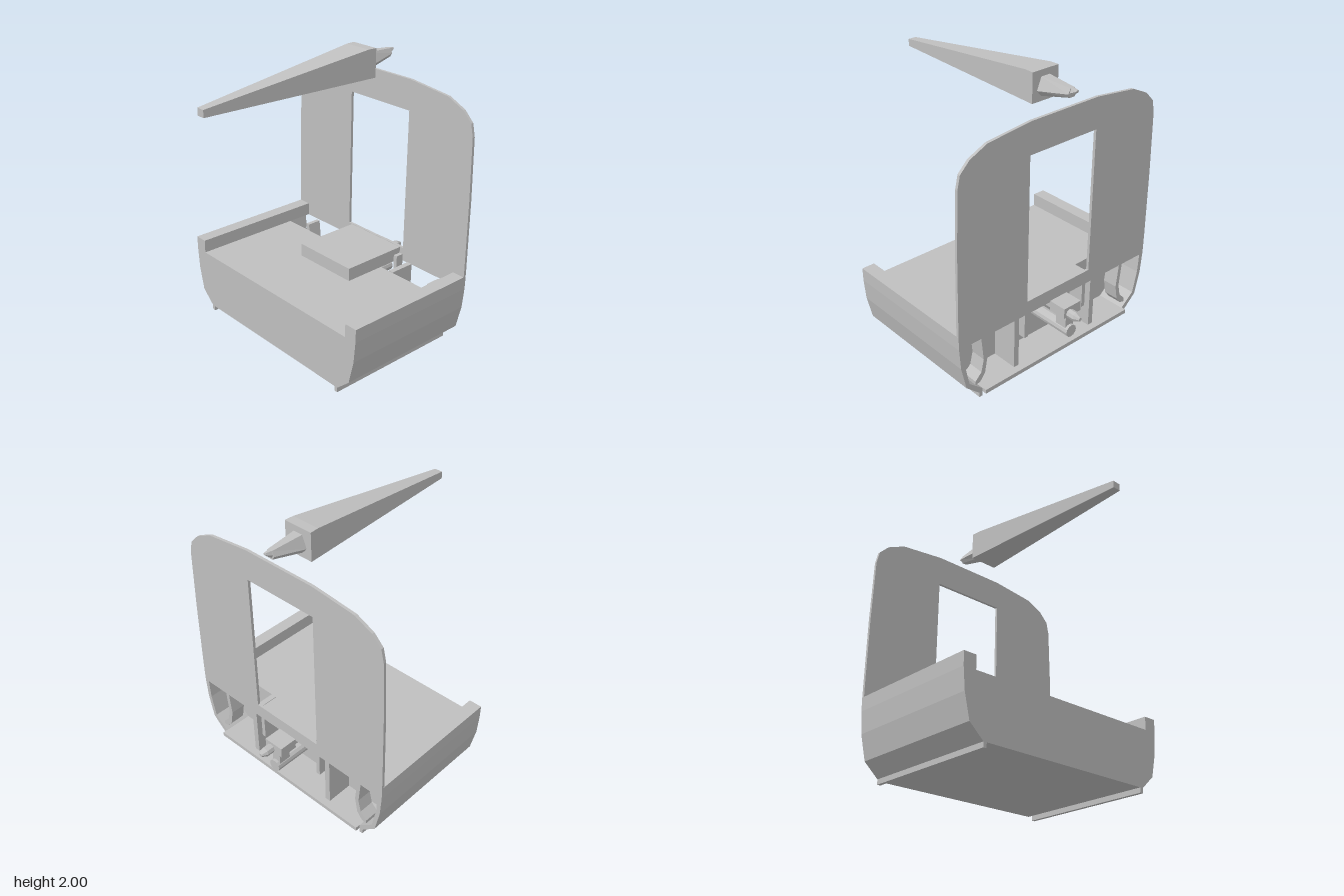
import * as THREE from 'three';

const grey = new THREE.MeshStandardMaterial({ color: 0xbfbfbf });
grey.name = 'plain grey';

function add(parent, name, geometry) {
  const mesh = new THREE.Mesh(geometry, grey);
  mesh.name = name;
  parent.add(mesh);
  return mesh;
}

// Box given by its minimum and maximum corners
function box(parent, name, [x0, y0, z0], [x1, y1, z1]) {
  const mesh = add(parent, name, new THREE.BoxGeometry(x1 - x0, y1 - y0, z1 - z0));
  mesh.position.set((x0 + x1) / 2, (y0 + y1) / 2, (z0 + z1) / 2);
  return mesh;
}

const shapeOf = pts => new THREE.Shape(pts.map(p => new THREE.Vector2(...p)));
const flipX = pts => pts.map(([x, y]) => [-x, y]).reverse();
const mirrored = half => [...half, ...flipX(half)];

// Outline in x,y pushed along z
function slab(parent, name, shape, z0, z1) {
  const geo = new THREE.ExtrudeGeometry(shape, { depth: z1 - z0, bevelEnabled: false });
  geo.translate(0, 0, z0);
  return add(parent, name, geo);
}

// Flat-faced skin over counter-clockwise sections ordered by rising z
function loft(sections) {
  const n = sections[0].pts.length;
  const pos = sections.flatMap(s => s.pts.flatMap(([x, y]) => [x, y, s.z]));
  const index = [];
  for (let s = 0; s < sections.length - 1; s++) {
    for (let i = 0; i < n; i++) {
      const a = s * n + i, b = s * n + (i + 1) % n;
      index.push(a, b, b + n, a, b + n, a + n);
    }
  }
  const last = (sections.length - 1) * n;
  for (let i = 1; i < n - 1; i++) {
    index.push(0, i + 1, i, last, last + i, last + i + 1);
  }
  const geo = new THREE.BufferGeometry();
  geo.setAttribute('position', new THREE.Float32BufferAttribute(pos, 3));
  geo.setIndex(index);
  const flat = geo.toNonIndexed();
  flat.computeVertexNormals();
  return flat;
}

export function createModel() {
  const model = new THREE.Group();
  model.name = 'model';
  const back = -0.64, bay = -0.43, front = 0.38;

  // Lower body: right half outline from the foot up to the deck
  const outer = [[0.66, 0], [0.685, 0], [0.685, 0.035], [0.79, 0.13], [0.83, 0.3],
    [0.843, 0.45], [0.845, 0.545], [0.75, 0.545], [0.75, 0.45]];
  const foot = [0.66, 0.035];
  slab(model, 'body', shapeOf(mirrored([foot, ...outer])), bay, front);

  // Open bay behind the body: thin shell with side rails
  const inner = [[0.81, 0.45], [0.8, 0.31], [0.765, 0.15], [0.66, 0.06]];
  const half = [foot, ...outer, ...inner];
  slab(model, 'bayShell', shapeOf(mirrored(half)), back, bay);
  box(model, 'rearLip', [-0.66, 0.035, -0.675], [0.66, 0.065, back]);

  // Raised pad on the deck
  box(model, 'pad', [-0.25, 0.45, -0.62], [0.25, 0.545, -0.12]);

  // Rear panel with its doorway
  const panel = shapeOf(mirrored([[0.843, 0.45], [0.845, 0.6], [0.842, 1.1], [0.83, 1.54],
    [0.81, 1.63], [0.74, 1.7], [0.61, 1.76], [0.28, 1.797]]));
  panel.holes.push(new THREE.Path([[-0.28, 0.548], [-0.28, 1.58], [0.28, 1.58], [0.28, 0.548]]
    .map(p => new THREE.Vector2(...p))));
  slab(model, 'rearPanel', panel, back, -0.62);

  // Ribs, tabs and curved guards inside the bay
  const guard = [[0.7, 0.09], [0.7, 0.12], [0.65, 0.17], [0.63, 0.26], [0.65, 0.44],
    [0.62, 0.44], [0.6, 0.26], [0.62, 0.15], [0.66, 0.1]];
  for (const side of [1, -1]) {
    const rib = box(model, 'bayRib', [0.33, 0.06, -0.62], [0.37, 0.455, bay]);
    rib.position.x *= side;
    const tab = box(model, 'bayTab', [0.25, 0.25, -0.62], [0.28, 0.5, -0.56]);
    tab.position.x *= side;
    slab(model, 'bayGuard', shapeOf(side > 0 ? guard : flipX(guard)), -0.62, -0.51);
  }

  // Rear coupling: top block, post, round bar and pointed pin
  const coupling = new THREE.Group();
  coupling.name = 'coupling';
  model.add(coupling);
  box(coupling, 'couplingBlock', [-0.078, 0.385, -0.77], [0.073, 0.46, -0.64]);
  box(coupling, 'couplingArm', [-0.055, 0.385, -0.64], [0.05, 0.44, bay]);
  box(coupling, 'couplingPost', [-0.035, 0.27, -0.75], [0.035, 0.385, -0.66]);
  const bar = add(coupling, 'couplingBar', new THREE.CylinderGeometry(0.045, 0.045, 0.34, 12).toNonIndexed());
  bar.geometry.computeVertexNormals();
  bar.rotation.x = -Math.PI / 2;
  bar.position.set(0, 0.255, -0.6);
  const pinGeo = new THREE.LatheGeometry([[0, 0.76], [0.033, 0.76], [0.033, 0.825], [0.013, 0.865], [0, 0.865]]
    .map(p => new THREE.Vector2(...p)), 8).toNonIndexed();
  pinGeo.computeVertexNormals();
  const pin = add(coupling, 'couplingPin', pinGeo);
  pin.rotation.x = -Math.PI / 2;
  pin.position.set(0.022, 0.408, 0);

  // Floating tapered beam
  const rect = (w, top) => [[-w, 1.8], [w, 1.8], [w, top], [-w, top]];
  add(model, 'beam', loft([
    { z: -0.465, pts: rect(0.107, 2) },
    { z: -0.4, pts: rect(0.103, 2) },
    { z: 0.86, pts: rect(0.03, 1.85) },
  ]));

  // Six-sided nozzle on the blunt end of the beam
  const hex = (w, low, mid, top) =>
    [[-w / 2, low], [w / 2, low], [w, mid], [w / 2, top], [-w / 2, top], [-w, mid]];
  add(model, 'nozzle', loft([
    { z: -0.69, pts: hex(0.035, 1.885, 1.91, 1.943) },
    { z: -0.46, pts: hex(0.07, 1.833, 1.872, 1.957) },
  ]));
  add(model, 'nozzleTip', loft([
    { z: -0.73, pts: hex(0.012, 1.925, 1.932, 1.94) },
    { z: -0.69, pts: hex(0.025, 1.895, 1.915, 1.943) },
  ]));

  return model;
}
